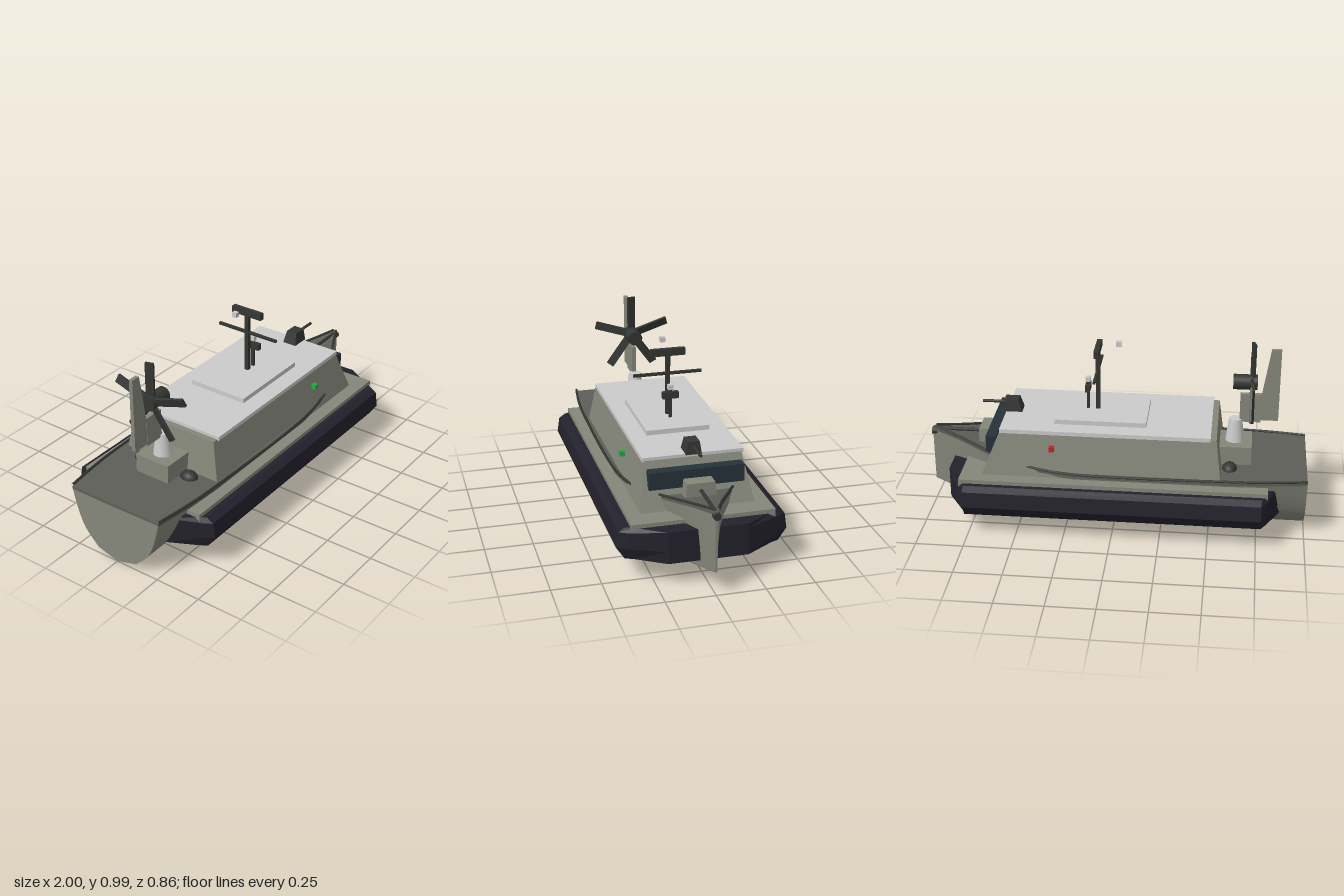
import * as THREE from 'three';
import { toCreasedNormals } from 'three/addons/utils/BufferGeometryUtils.js';

const mat = (color) => new THREE.MeshStandardMaterial({ color });
const green = mat(0x85877a), deckGreen = mat(0x5c5e56), rubber = mat(0x23212c), glass = mat(0x26323a);
const dark = mat(0x343633), grey = mat(0xcccccc), red = mat(0xcc2222), navGreen = mat(0x22aa44);

// Closed solid through rings of [x, y, z] points, capped at both ends
function loft(rings, crease = 0.1) {
  const pos = [];
  const n = rings[0].length;
  const tri = (a, b, c) => pos.push(...a, ...b, ...c);
  for (let i = 0; i + 1 < rings.length; i++) {
    for (let j = 0; j < n; j++) {
      const k = (j + 1) % n;
      tri(rings[i][j], rings[i][k], rings[i + 1][k]);
      tri(rings[i][j], rings[i + 1][k], rings[i + 1][j]);
    }
  }
  const cap = (ring, flip) => {
    const c = [0, 1, 2].map((q) => ring.reduce((s, p) => s + p[q], 0) / n);
    ring.forEach((p, j) => {
      const next = ring[(j + 1) % n];
      if (flip) tri(c, next, p);
      else tri(c, p, next);
    });
  };
  cap(rings[0], true);
  cap(rings[rings.length - 1], false);
  const g = new THREE.BufferGeometry();
  g.setAttribute('position', new THREE.Float32BufferAttribute(pos, 3));
  return toCreasedNormals(g, crease);
}

const rect = (x0, x1, z, y) => [[x1, y, z], [x1, y, -z], [x0, y, -z], [x0, y, z]];

export function createModel() {
  const group = new THREE.Group();
  const add = (name, geo, material, x = 0, y = 0, z = 0, parent = group) => {
    const m = new THREE.Mesh(geo, material);
    m.name = name;
    m.position.set(x, y, z);
    parent.add(m);
    return m;
  };
  // Box given by its extents, centred on z unless moved
  const box = (name, material, x0, x1, y0, y1, halfZ, z = 0) =>
    add(name, new THREE.BoxGeometry(x1 - x0, y1 - y0, halfZ * 2), material, (x0 + x1) / 2, (y0 + y1) / 2, z);
  const rod = (name, material, x0, x1, y, r, sides = 12) =>
    add(name, new THREE.CylinderGeometry(r, r, x1 - x0, sides).rotateZ(Math.PI / 2), material, (x0 + x1) / 2, y, 0);

  // Hull stations: x, sheer half width, sheer y, keel y, chine z, chine y, bilge z, bilge y
  const stations = [
    [-1, 0.27, 0.335, 0, 0.12, 0.035, 0.2, 0.12],
    [-0.8, 0.295, 0.335, 0, 0.12, 0.035, 0.2, 0.12],
    [-0.6, 0.307, 0.335, 0, 0.12, 0.035, 0.2, 0.12],
    [0.2, 0.307, 0.335, 0, 0.12, 0.035, 0.2, 0.12],
    [0.42, 0.28, 0.35, 0.002, 0.12, 0.037, 0.19, 0.125],
    [0.55, 0.237, 0.365, 0.01, 0.11, 0.042, 0.165, 0.135],
    [0.68, 0.165, 0.382, 0.028, 0.09, 0.055, 0.115, 0.15],
    [0.85, 0.07, 0.408, 0.07, 0.045, 0.085, 0.05, 0.18],
    [0.995, 0.008, 0.43, 0.12, 0.004, 0.124, 0.005, 0.2],
  ];
  const hullRings = stations.map(([x, b, s, k, c, yc, m, ym]) => {
    const side = new THREE.SplineCurve([
      new THREE.Vector2(b, s), new THREE.Vector2((b + m) / 2 + 0.01 * (b / 0.3), (s + ym) / 2),
      new THREE.Vector2(m, ym), new THREE.Vector2(c, yc),
    ]).getPoints(9).map((p) => [x, p.y, p.x]);
    return [...side, [x, k, 0], ...side.slice().reverse().map(([px, y, z]) => [px, y, -z])];
  });
  add('hull', loft(hullRings, 0.45), green);

  // Deck plate following the sheer
  add('deck', loft(stations.map(([x, b, s]) =>
    [[x, s + 0.005, b], [x, s - 0.01, b], [x, s - 0.01, -b], [x, s + 0.005, -b]])), deckGreen);

  // Rub rails along both deck edges, and deck scoops beside the cabin's rear
  for (const side of [1, -1]) {
    const path = new THREE.CatmullRomCurve3(stations.map(([x, b, s]) =>
      new THREE.Vector3(Math.min(x, 0.98), s + 0.012, side * b)));
    add('rubRail', new THREE.TubeGeometry(path, 60, 0.007, 6), dark);
    const scoop = add('deckScoop', new THREE.SphereGeometry(1, 16, 8, 0, Math.PI * 2, 0, Math.PI / 2), dark, -0.6, 0.335, side * 0.145);
    scoop.scale.set(0.04, 0.04, 0.05);
  }

  // Inflated skirt with chamfered corners
  const skirtRing = (y, d) => {
    const z = 0.43 - d;
    return [[0.87, y, 0.2], [0.87, y, -0.2], [0.785 - d * 0.2, y, -z + 0.04], [0.76, y, -z], [-0.77, y, -z],
      [-0.795, y, -z + 0.04], [-0.87, y, -0.2], [-0.87, y, 0.2], [-0.795, y, z - 0.04], [-0.77, y, z],
      [0.76, y, z], [0.785 - d * 0.2, y, z - 0.04]];
  };
  add('skirt', loft([skirtRing(0.127, 0.042), skirtRing(0.19, 0), skirtRing(0.27, 0.012), skirtRing(0.292, 0.045)]), rubber);
  box('sideDeck', green, -0.8, 0.79, 0.265, 0.313, 0.36);

  // Cabin with sloping walls, roof and hatch
  add('cabin', loft([rect(-0.56, 0.68, 0.29, 0.31), rect(-0.53, 0.585, 0.246, 0.545)]), green);
  box('roof', grey, -0.5, 0.585, 0.54, 0.561, 0.256);
  box('roofHatch', grey, -0.165, 0.31, 0.56, 0.586, 0.165);
  box('windscreen', glass, 0.605, 0.66, 0.42, 0.51, 0.24);

  // Roof gun
  add('gunMount', loft([rect(0.5, 0.6, 0.04, 0.56), rect(0.52, 0.595, 0.03, 0.625)]), dark);
  rod('gunBarrel', dark, 0.59, 0.715, 0.6, 0.008);

  // Foredeck locker, bow rod and stem roller
  add('foredeckLocker', loft([rect(0.62, 0.73, 0.08, 0.37), rect(0.62, 0.73, 0.07, 0.465)]), green);
  rod('bowRod', dark, 0.72, 0.97, 0.425, 0.009);
  rod('bowRoller', dark, 0.955, 1, 0.41, 0.019, 16);

  // Mast with radar bars
  box('mast', dark, 0.09, 0.112, 0.58, 0.94, 0.011);
  box('radarBar', dark, 0.088, 0.114, 0.903, 0.94, 0.09);
  box('antennaBar', dark, 0.094, 0.108, 0.8, 0.814, 0.18);
  box('shortMast', dark, 0.146, 0.16, 0.58, 0.74, 0.008);
  box('sensorBox', dark, 0.14, 0.166, 0.69, 0.725, 0.042);

  // Lights
  box('shortMastLight', grey, 0.14, 0.166, 0.737, 0.763, 0.013);
  box('topLight', grey, -0.021, 0.005, 0.942, 0.968, 0.013);
  box('leftLight', navGreen, 0.297, 0.323, 0.467, 0.493, 0.013, 0.293);
  box('rightLight', red, 0.297, 0.323, 0.467, 0.493, 0.013, -0.293);

  // Fan pedestal
  box('fanBase', green, -0.71, -0.54, 0.33, 0.44, 0.1);
  add('fanPylon', new THREE.CylinderGeometry(0.034, 0.05, 0.125, 24), grey, -0.62, 0.5, 0);

  // Fan with five pitched blades
  const fan = new THREE.Group();
  fan.name = 'fan';
  fan.position.set(-0.7, 0.77, 0);
  group.add(fan);
  add('fanHub', new THREE.CylinderGeometry(0.04, 0.04, 0.125, 20).rotateZ(Math.PI / 2), dark, 0.037, 0, 0, fan);
  for (let i = 0; i < 5; i++) {
    const blade = new THREE.BoxGeometry(0.014, 0.2, 0.044).rotateY(0.3).translate(0, 0.115, 0);
    add('fanBlade', blade, dark, 0, 0, 0, fan).rotation.x = (i * Math.PI * 2) / 5;
  }

  // Rudder fin with its lower plate
  const fin = new THREE.Shape([[-0.84, 0.955], [-0.84, 0.56], [-0.75, 0.56], [-0.75, 0.7], [-0.79, 0.955]]
    .map(([x, y]) => new THREE.Vector2(x, y)));
  add('rudder', new THREE.ExtrudeGeometry(fin, { depth: 0.02, bevelEnabled: false }), green, 0, 0, -0.01);
  box('rudderSupport', green, -0.75, -0.64, 0.548, 0.705, 0.012);

  return group;
}
